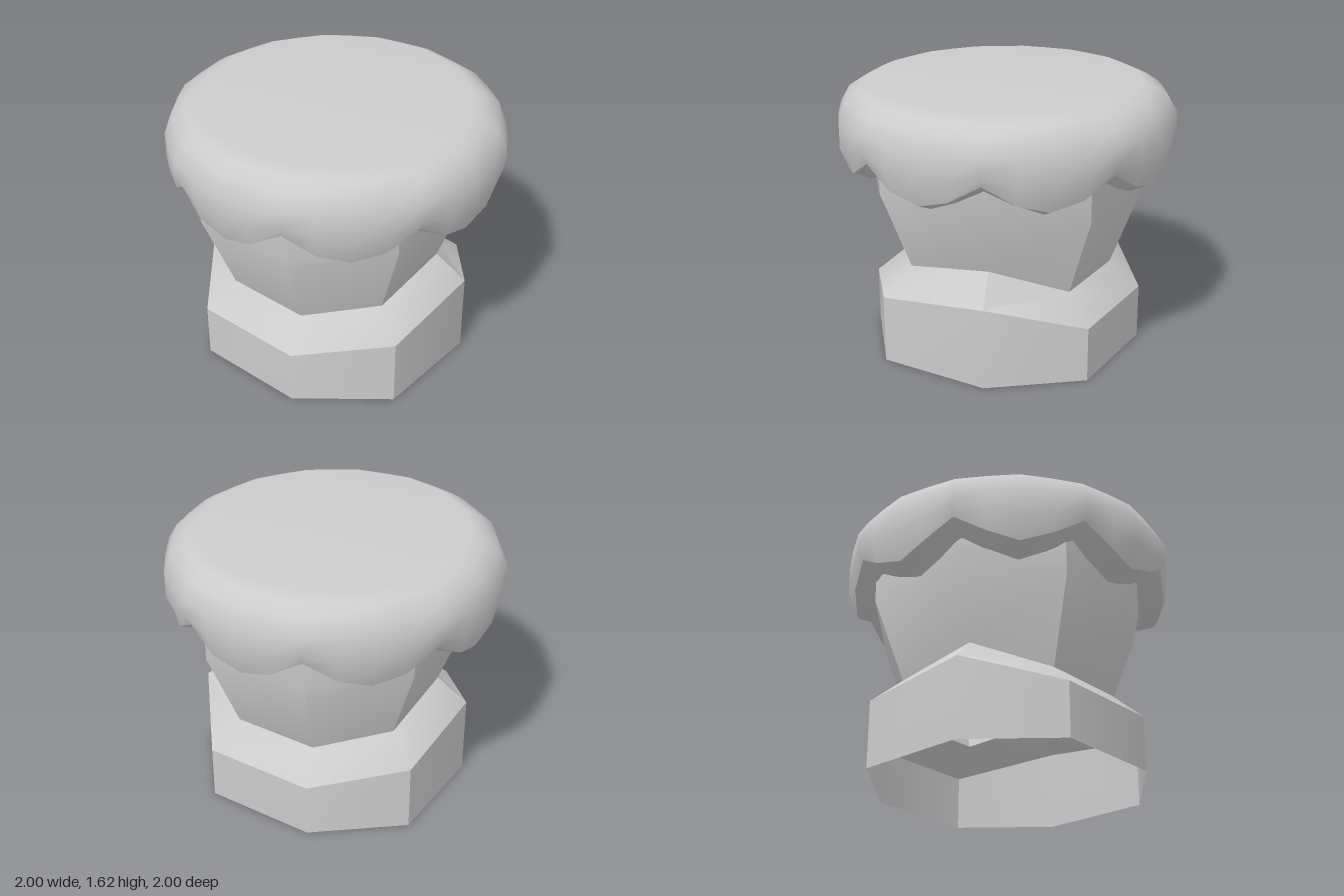
import * as THREE from 'three';
import { toCreasedNormals } from 'three/addons/utils/BufferGeometryUtils.js';

const material = new THREE.MeshStandardMaterial({ color: 0xcccccc, side: THREE.DoubleSide });

// Skin a stack of closed rings, each an array of [x, y, z], ordered from bottom to top.
function loft(rings) {
  const n = rings[0].length;
  const index = [];
  for (let i = 0; i < rings.length - 1; i++) {
    for (let j = 0; j < n; j++) {
      const a = i * n + j;
      const b = i * n + ((j + 1) % n);
      index.push(a, b, b + n, a, b + n, a + n);
    }
  }
  const geometry = new THREE.BufferGeometry();
  geometry.setAttribute('position', new THREE.Float32BufferAttribute(rings.flat(2), 3));
  geometry.setIndex(index);
  geometry.computeVertexNormals();
  return geometry;
}

function addPart(group, name, geometry) {
  const mesh = new THREE.Mesh(geometry, material);
  mesh.name = name;
  group.add(mesh);
}

// Irregular octagon of the stem: half the corners [x, z, rise], the rest by a half turn.
const half = [[-0.385, 0.77, 0.08], [0.3, 0.77, 0.16], [0.77, 0.385, 0], [0.77, -0.3, 0]];
const corners = [...half, ...half.map(([x, z, rise]) => [-x, -z, rise])];
const stemRing = (scale, y, wave) => corners.map(([x, z, rise]) => [x * scale, y + rise * wave, z * scale]);

// Cap ring of 32 columns. Each profile point is [radius, y] at a lobe, between, and at a notch.
function capRing(lobe, between, notch) {
  const cycle = [lobe, between, notch, between];
  return Array.from({ length: 32 }, (_, i) => {
    const [r, y] = cycle[i % 4];
    const angle = (i * Math.PI) / 16;
    return [r * Math.sin(angle), y, r * Math.cos(angle)];
  });
}
const evenRing = (r, y) => capRing([r, y], [r * 0.987, y], [r, y]);

export function createModel() {
  const group = new THREE.Group();
  const crease = 0.76;

  // Hollow foot with a wavy, bevelled upper edge
  const waist = stemRing(0.777, 0.49, 1);
  addPart(group, 'foot', toCreasedNormals(
    loft([stemRing(1, 0, 0), stemRing(1, 0.33, 1), waist]), crease));

  // Stem flaring from the waist up into the cap
  addPart(group, 'stem', toCreasedNormals(
    loft([waist, stemRing(1, 0.98, 1), stemRing(1, 1.32, 0)]), crease));

  // Rounded cap with a scalloped lower edge and flat top
  const rim = capRing([0.94, 1.115], [0.965, 1.17], [0.97, 1.28]);
  addPart(group, 'cap', loft([
    rim,
    capRing([1, 1.26], [0.993, 1.29], [1.008, 1.35]),
    capRing([1, 1.42], [0.993, 1.43], [1.008, 1.45]),
    evenRing(0.955, 1.54),
    evenRing(0.88, 1.59),
    evenRing(0.8, 1.625),
    evenRing(0, 1.625),
  ]));

  // Underside of the scallops, turning in toward the stem
  addPart(group, 'capUnderside', toCreasedNormals(loft([
    capRing([0.72, 1.12], [0.72, 1.18], [0.72, 1.24]),
    capRing([0.82, 1.06], [0.83, 1.125], [0.87, 1.22]),
    rim,
  ]), 0.7));

  return group;
}
